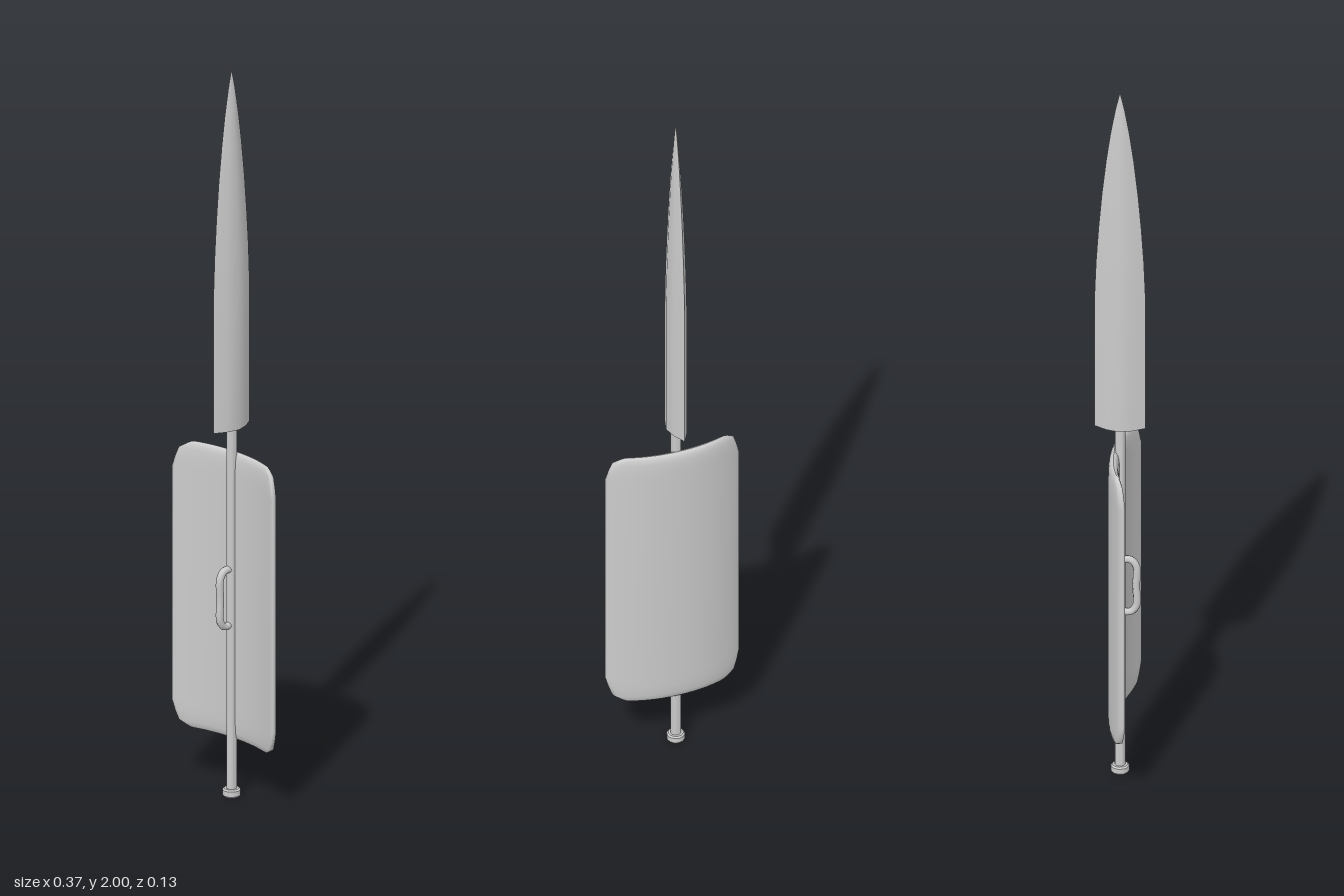
import * as THREE from 'three';
import { toCreasedNormals } from 'three/addons/utils/BufferGeometryUtils.js';

// Skin a stack of equal-length rings (counter-clockwise seen from above)
function loft(rings, capped) {
  const n = rings[0].length, pos = rings.flat(2), index = [];
  for (let i = 0; i < rings.length - 1; i++) {
    for (let j = 0; j < n; j++) {
      const k = (j + 1) % n, a = i * n, b = a + n;
      index.push(a + j, a + k, b + k, a + j, b + k, b + j);
    }
  }
  if (capped) {
    const c = pos.length / 3, last = (rings.length - 1) * n;
    pos.push(0, rings[0][0][1], 0, 0, rings[rings.length - 1][0][1], 0);
    for (let j = 0; j < n; j++) {
      const k = (j + 1) % n;
      index.push(c, k, j, c + 1, last + j, last + k);
    }
  }
  const g = new THREE.BufferGeometry();
  g.setAttribute('position', new THREE.Float32BufferAttribute(pos, 3));
  g.setIndex(index);
  g.computeVertexNormals();
  return g;
}

export function createModel() {
  const group = new THREE.Group();
  const material = new THREE.MeshStandardMaterial({ color: 0xcccccc });
  const add = (name, geometry, y = 0) => {
    const mesh = new THREE.Mesh(geometry, material);
    mesh.name = name;
    mesh.position.y = y;
    group.add(mesh);
  };

  // Spear shaft and its foot
  const shaft = new THREE.CylinderGeometry(0.014, 0.014, 1.02, 12);
  add('shaft', toCreasedNormals(shaft, 0.7), 0.52);
  const foot = [[0, 0], [0.02, 0], [0.024, 0.005], [0.024, 0.019], [0.02, 0.023], [0, 0.023]];
  add('shaftFoot', toCreasedNormals(
    new THREE.LatheGeometry(foot.map(p => new THREE.Vector2(...p)), 12), 0.6));

  // Spear blade: lens section, edges facing front and back, tapering to a point
  const lens = [[0, 0.066], [0.018, 0.034], [0.027, 0], [0.018, -0.034],
    [0, -0.066], [-0.018, -0.034], [-0.027, 0], [-0.018, 0.034]];
  const taper = [[1.015, 1], [1.4, 1], [1.5, 0.94], [1.6, 0.84], [1.7, 0.71],
    [1.8, 0.54], [1.88, 0.37], [1.95, 0.18], [2, 0.005]];
  const blade = loft(taper.map(([y, s]) => lens.map(([x, z]) => [x * s, y, z * s])), true);
  add('blade', toCreasedNormals(blade, 0.6));

  // Shield: padded rectangle, swept forward at both sides
  const half = [[0.395, 0.13, 0], [0.393, 0.137, 0.006], [0.387, 0.148, 0.01],
    [0.375, 0.167, 0.013], [0.35, 0.176, 0.0145], [0.32, 0.184, 0.0145]];
  const rows = [...half.map(([y, w, t]) => [-y, w, t]), [0, 0.184, 0.0145], ...half.reverse()];
  const sides = 40;
  const shieldRings = rows.map(([y, w, t]) => Array.from({ length: sides }, (_, j) => {
    const a = j / sides * Math.PI * 2, c = Math.cos(a);
    const x = w * Math.sin(a);
    const bow = -0.014 + 0.043 * Math.pow(Math.abs(x) / 0.184, 2.2);
    return [x, y + 0.55, bow + t * Math.sign(c) * Math.pow(Math.abs(c), 0.4)];
  }));
  add('shield', loft(shieldRings, false));

  // Grip in front of the shaft
  const grip = new THREE.CatmullRomCurve3([[0.474, 0], [0.474, 0.028], [0.492, 0.042], [0.55, 0.042],
    [0.608, 0.042], [0.626, 0.028], [0.626, 0]].map(([y, z]) => new THREE.Vector3(0, y, z)));
  add('grip', new THREE.TubeGeometry(grip, 32, 0.01, 8));

  return group;
}
